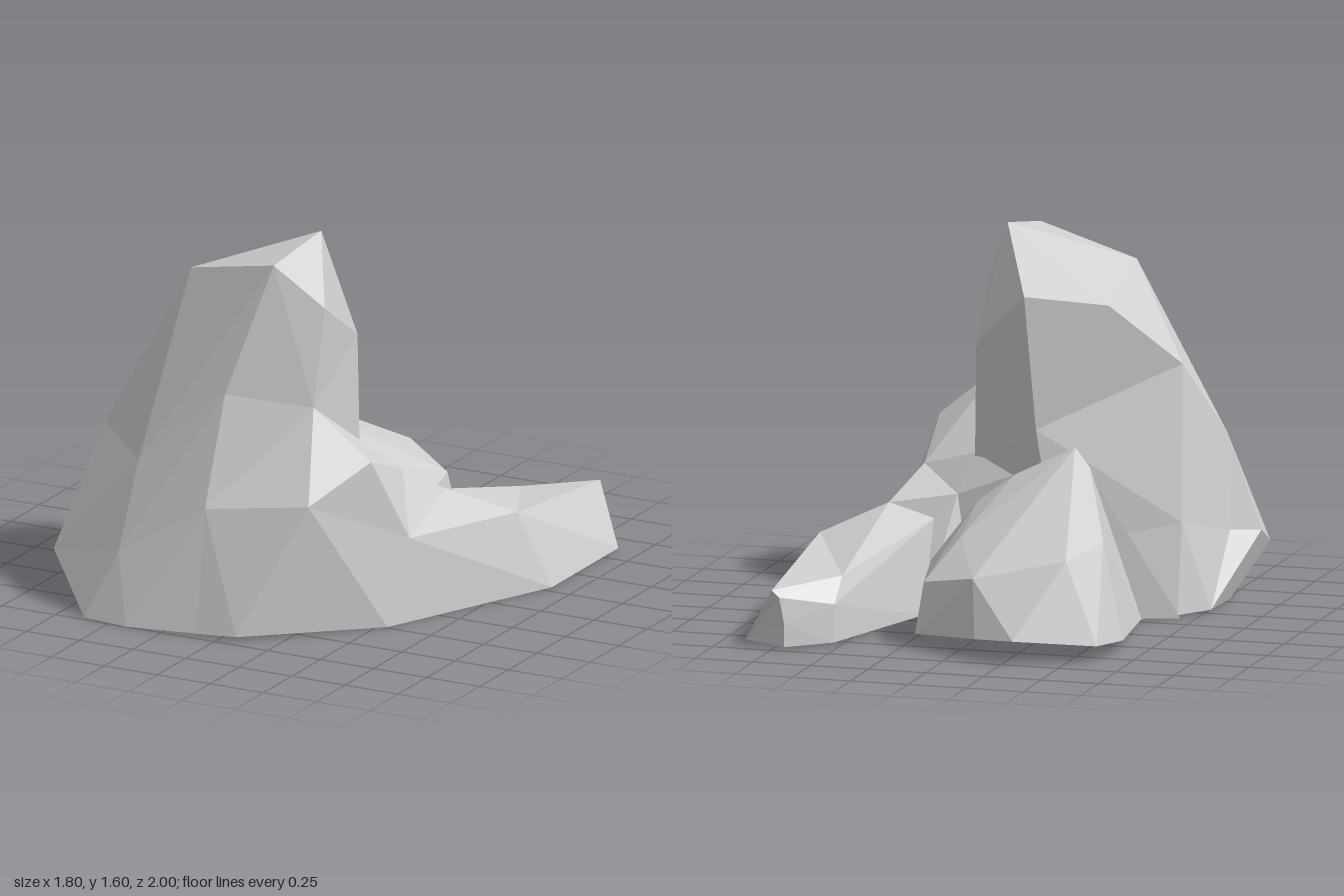
import * as THREE from 'three';
import { ConvexGeometry } from 'three/addons/geometries/ConvexGeometry.js';

// The rocks are hollow shells, open underneath
const stone = new THREE.MeshStandardMaterial({ color: 0xd0d0d0, side: THREE.DoubleSide });
stone.name = 'pale stone';

function facetMesh(name, pos) {
  const geo = new THREE.BufferGeometry();
  geo.setAttribute('position', new THREE.Float32BufferAttribute(pos, 3));
  geo.computeVertexNormals();
  const mesh = new THREE.Mesh(geo, stone);
  mesh.name = name;
  return mesh;
}

// Faceted boulder: the hull around a few corners, without its underside
function boulder(name, corners) {
  const hull = new ConvexGeometry(corners.map(c => new THREE.Vector3(...c)));
  const p = hull.getAttribute('position').array, n = hull.getAttribute('normal');
  const pos = [];
  for (let v = 0; v < n.count; v += 3) {
    if (n.getY(v) > -0.8) pos.push(...p.slice(v * 3, v * 3 + 9));
  }
  return facetMesh(name, pos);
}

// Faceted shell: caps the first cross-section and joins it to the next ones,
// splitting each four-sided patch along the diagonal that bulges outwards
function shell(name, rings, closed) {
  const n = rings[0].length, pos = [];
  const tri = (a, b, c) => pos.push(...a, ...b, ...c);
  const bulges = (a, b, c, d) => {
    const [A, B, C, D] = [a, b, c, d].map(q => new THREE.Vector3(...q));
    return B.sub(A).cross(C.sub(A)).dot(D.sub(A)) > 0;
  };
  for (let i = 0; i < rings.length - 1; i++) {
    const r = rings[i], s = rings[i + 1];
    for (let j = 0; j < (closed ? n : n - 1); j++) {
      const k = (j + 1) % n;
      if (bulges(r[j], r[k], s[j], s[k])) {
        tri(r[j], r[k], s[k]);
        tri(r[j], s[k], s[j]);
      } else {
        tri(r[j], r[k], s[j]);
        tri(r[k], s[k], s[j]);
      }
    }
  }
  for (let j = 1; j < n - 1; j++) tri(rings[0][0], rings[0][j + 1], rings[0][j]);
  return facetMesh(name, pos);
}

export function createModel() {
  const group = new THREE.Group();
  group.name = 'rockFormation';

  // Tall rock, from the top down; each ring runs right, front, left, back
  const topLeft = [-0.38, 1.44, 0.5], leftShoulder = [-0.76, 0.72, 0.54];
  group.add(shell('tallRock', [
    [[0.11, 1.61, 0.27], [0.25, 1.36, 0.5], [0.07, 1.55, 0.61], topLeft,
      topLeft, topLeft, topLeft, [-0.38, 1.32, 0.1], [-0.05, 1.36, -0.02]],
    [[0.2, 1.13, 0.12], [0.23, 0.94, 0.56], [-0.09, 1.0, 0.74], [-0.47, 0.67, 0.79],
      leftShoulder, leftShoulder, leftShoulder, [-0.64, 1.05, 0.3], [-0.1, 0.8, -0.015]],
    [[0.2, 0.6, 0.1], [0.1, 0.4, 0.4], [-0.12, 0.53, 0.86], [-0.5, 0.3, 0.91],
      [-0.87, 0.22, 0.79], [-0.9, 0.31, 0.57], [-0.79, 0.32, 0.48], [-0.67, 0.4, 0.19], [-0.18, 0.3, -0.01]],
    [[0.15, 0.02, 0.05], [0.1, 0.02, 0.4], [-0.1, 0.02, 0.97], [-0.42, 0.01, 1.0],
      [-0.63, 0.01, 0.97], [-0.78, 0.02, 0.51], [-0.77, 0.02, 0.28], [-0.67, 0.02, 0.13], [-0.22, 0.02, -0.01]],
  ], true));

  // Low rock sweeping from the back round to the front, tip first:
  // outer base, three shoulder points, ridge, inner side, inner base
  const tip = [0.75, 0.26, -0.98], elbow = [0.78, 0.35, -0.2], bend = [0.58, 0.37, 0.37];
  const saddle = [0.44, 0.59, 0.17], notch = [0.2, 0.66, 0.11];
  group.add(shell('sweepingRock', [
    [[0.9, 0.02, -0.86], tip, tip, tip, [0.72, 0.23, -0.975], [0.7, 0.12, -0.97], [0.7, 0.02, -0.97]],
    [[0.89, 0.01, -0.3], elbow, elbow, elbow, [0.53, 0.28, -0.7], [0.53, 0.18, -0.81], [0.53, 0.02, -0.82]],
    [[0.54, 0.01, 0.49], bend, bend, bend, [0.53, 0.46, -0.04], [0.34, 0.4, -0.02], [0.34, 0.02, -0.18]],
    [[0.08, 0.03, 0.96], [0.32, 0.58, 0.77], [0.48, 0.73, 0.52], saddle, saddle,
      [0.25, 0.5, 0.02], [0.15, 0.02, -0.08]],
    [[-0.1, 0.02, 0.97], [-0.12, 0.53, 0.86], [0.23, 0.94, 0.56], notch, notch,
      [0.0, 0.6, -0.01], [-0.05, 0.02, -0.03]],
  ], false));

  // Sloping rock at the back
  group.add(boulder('backRock', [
    [-0.29, 0.75, -0.08], [-0.37, 0.68, -0.13], [-0.03, 0.62, -0.08], [0.13, 0.5, -0.09],
    [-0.56, 0.46, -0.56], [-0.47, 0.42, -0.8], [-0.09, 0.34, -0.88], [0.17, 0.28, -0.72],
    [0.08, 0.43, -0.49], [0.3, 0.26, -0.19], [0.3, 0.04, -0.17], [0.19, 0.07, -0.78],
    [-0.12, 0.1, -0.95], [-0.3, 0.11, -1.0], [-0.62, 0.08, -0.85], [-0.66, 0.06, -0.61],
    [-0.55, 0.02, 0.01], [0.1, 0.02, -0.08],
  ]));

  // Thin shard wedged between the tall rock and the back rock
  group.add(boulder('wedgedShard', [
    [-0.7, 0.02, 0.07], [-0.54, 0.02, 0.08], [-0.5, 0.02, 0.0],
    [-0.29, 0.73, -0.07], [-0.37, 0.6, -0.05], [0.12, 0.48, -0.08],
  ]));

  return group;
}
